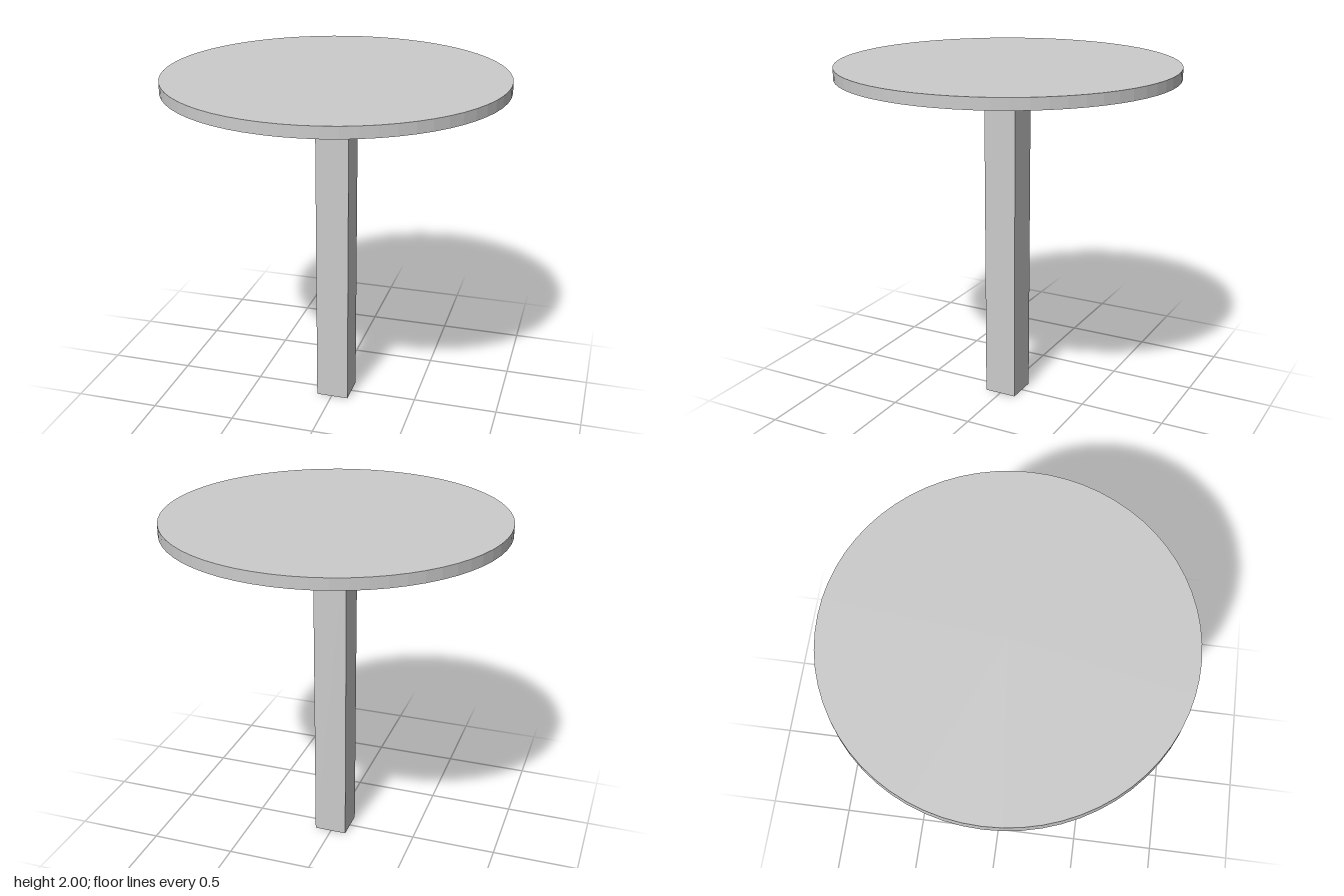
import * as THREE from 'three';

export function createModel() {
  const group = new THREE.Group();
  const material = new THREE.MeshStandardMaterial({ color: 0xcccccc, flatShading: true });
  const height = 2, topThickness = 0.064, topRadius = 0.966, postWidth = 0.193;
  const postHeight = height - topThickness;

  // Round table top
  const top = new THREE.Mesh(
    new THREE.CylinderGeometry(topRadius, topRadius, topThickness, 64), material);
  top.name = 'tableTop';
  top.position.y = height - topThickness / 2;

  // Square central post
  const post = new THREE.Mesh(
    new THREE.BoxGeometry(postWidth, postHeight, postWidth), material);
  post.name = 'post';
  post.position.set(0.004, postHeight / 2, 0);

  group.add(top, post);
  return group;
}
